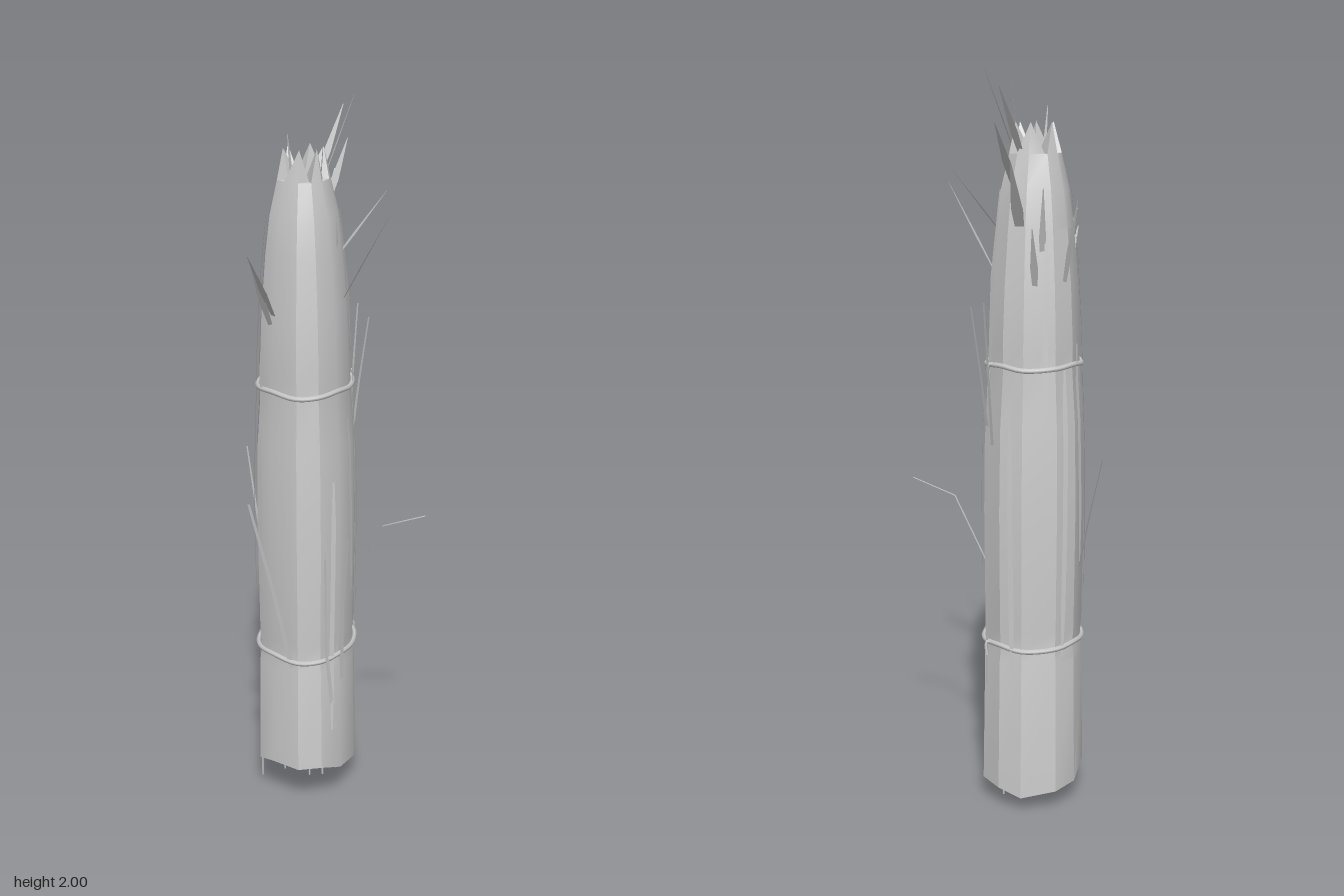
import * as THREE from 'three';
import { toCreasedNormals } from 'three/addons/utils/BufferGeometryUtils.js';

const CX = -0.075, CZ = -0.01;
// outline of the bundle seen from above, as [x, z] about its axis
const OUTLINE = [[0.015, 0.165], [0.08, 0.148], [0.122, 0.09], [0.142, 0], [0.13, -0.085], [0.08, -0.14],
  [0.015, -0.165], [-0.08, -0.142], [-0.125, -0.08], [-0.14, 0.005], [-0.118, 0.085], [-0.065, 0.135]];
const N = OUTLINE.length;
// [height, scale of the outline]
const PROFILE = [[0.08, 1], [0.43, 0.96], [0.47, 0.925], [0.52, 0.95], [0.85, 0.97], [1.08, 0.94], [1.24, 0.86],
  [1.3, 0.87], [1.45, 0.82], [1.6, 0.73], [1.7, 0.64], [1.79, 0.49], [1.85, 0.37]];

function scaleAt(y) {
  for (let i = 1; i < PROFILE.length; i++) {
    const [y0, s0] = PROFILE[i - 1], [y1, s1] = PROFILE[i];
    if (y <= y1) return s0 + (s1 - s0) * Math.max(0, (y - y0) / (y1 - y0));
  }
  return PROFILE[PROFILE.length - 1][1];
}

// point on the bundle at position u (0..N) round the outline
function onBundle(u, y, off = 0) {
  const i = Math.floor(u) % N, f = u - Math.floor(u);
  const a = OUTLINE[i], b = OUTLINE[(i + 1) % N], s = scaleAt(y);
  const x = (a[0] + (b[0] - a[0]) * f) * s, z = (a[1] + (b[1] - a[1]) * f) * s;
  const k = 1 + off / Math.hypot(x, z);
  return new THREE.Vector3(CX + x * k, y, CZ + z * k);
}

function bundleGeometry() {
  const pos = [], idx = [], rows = PROFILE.length;
  PROFILE.forEach(([y], r) => {
    for (let i = 0; i < N; i++) {
      const p = onBundle(i, y);
      if (r === 0) p.y = 0.092 + 0.27 * p.z + (i % 2 ? 0.006 : -0.004);
      if (r === rows - 1) p.y = i % 2 ? 1.79 : 1.87;
      pos.push(p.x, p.y, p.z);
    }
  });
  for (let r = 0; r < rows - 1; r++) for (let i = 0; i < N; i++) {
    const j = (i + 1) % N, a = r * N + i, b = r * N + j;
    idx.push(a, b, b + N, a, b + N, a + N);
  }
  // slanted cut below, hollow crown above
  pos.push(CX, 0.095, CZ, CX, 1.77, CZ);
  for (let i = 0; i < N; i++) {
    const j = (i + 1) % N, t = (rows - 1) * N;
    idx.push(rows * N, j, i, rows * N + 1, t + i, t + j);
  }
  const g = new THREE.BufferGeometry();
  g.setAttribute('position', new THREE.Float32BufferAttribute(pos, 3));
  g.setIndex(idx);
  return toCreasedNormals(g, 0.45);
}

// flat strip through points, with one width per point
function ribbon(points, widths) {
  const pos = [], idx = [];
  const mid = points[0], out = new THREE.Vector3(mid.x - CX, 0, mid.z - CZ).normalize();
  const dir = points[points.length - 1].clone().sub(mid).normalize();
  const side = new THREE.Vector3().crossVectors(dir, out);
  if (side.length() < 0.05) side.set(-out.z, 0, out.x);
  side.normalize();
  points.forEach((p, i) => {
    for (const s of [-0.5, 0.5]) {
      const q = p.clone().addScaledVector(side, s * widths[i]);
      pos.push(q.x, q.y, q.z);
    }
    if (i) idx.push(2 * i - 2, 2 * i - 1, 2 * i + 1, 2 * i - 2, 2 * i + 1, 2 * i);
  });
  const g = new THREE.BufferGeometry();
  g.setAttribute('position', new THREE.Float32BufferAttribute(pos, 3));
  g.setIndex(idx);
  g.computeVertexNormals();
  return g;
}

export function createModel() {
  const group = new THREE.Group();
  const straw = new THREE.MeshStandardMaterial({ color: 0xcccccc, side: THREE.DoubleSide });
  straw.name = 'pale grey straw';
  const add = (geo, name) => {
    const m = new THREE.Mesh(geo, straw);
    m.name = name;
    group.add(m);
  };
  const V = (p) => new THREE.Vector3(...p);

  add(bundleGeometry(), 'bundle');

  // two cords, each with a loose end
  for (const y of [0.472, 1.242]) {
    const pts = OUTLINE.map((_, i) => onBundle(i, y, 0.004).setY(y + (i % 3 - 1) * 0.004));
    add(new THREE.TubeGeometry(new THREE.CatmullRomCurve3(pts, true), 48, 0.007, 5, true), 'cord');
    const k = onBundle(4.5, y, 0.004);
    const tail = new THREE.CatmullRomCurve3([k, k.clone().add(V([0.016, 0.006, -0.01])), k.clone().add(V([0.014, -0.03, -0.014]))]);
    add(new THREE.TubeGeometry(tail, 6, 0.005, 5), 'cordEnd');
  }

  // broad pointed leaves near the top: root, tip, width
  const leaves = [
    [[-0.14, 1.42, 0.09], [-0.175, 1.59, 0.15], 0.03],
    [[-0.13, 1.45, 0.1], [-0.165, 1.63, 0.215], 0.025],
    [[0.03, 1.47, 0], [0.16, 1.71, 0.02], 0.02],
    [[0, 1.57, -0.04], [0.13, 1.75, -0.1], 0.025],
    [[-0.05, 1.57, -0.1], [-0.037, 1.78, -0.225], 0.034],
    [[-0.03, 1.7, -0.08], [0.008, 1.87, -0.18], 0.03],
    [[-0.05, 1.77, -0.06], [0, 1.96, -0.16], 0.024],
    [[-0.09, 1.44, -0.13], [-0.09, 1.61, -0.205], 0.02],
    [[-0.105, 1.5, -0.11], [-0.115, 1.71, -0.18], 0.018],
    [[-0.16, 1.45, -0.09], [-0.2, 1.68, -0.155], 0.02],
    [[-0.03, 1.77, -0.03], [0.05, 2, -0.06], 0.012],
    [[-0.03, 1.75, -0.01], [-0.015, 1.96, -0.01], 0.01],
    [[-0.09, 1.75, 0.03], [-0.1, 1.91, 0.05], 0.01],
    [[0.022, 1.52, 0], [0.02, 1.7, 0.02], 0.016],
  ];
  for (const [root, tip, w] of leaves) {
    const a = V(root), b = V(tip);
    add(ribbon([a, a.clone().lerp(b, 0.4), b], [w * 0.6, w, 0.002]), 'leaf');
  }

  // loose stalks standing off the sides
  const stalks = [
    [[0.055, 0.66, 0], [0.15, 0.85, 0.018], [0.27, 0.895, 0.03]],
    [[-0.205, 0.68, -0.05], [-0.235, 0.84, -0.08], [-0.27, 1, -0.125]],
    [[-0.08, 0.45, 0.14], [-0.125, 0.72, 0.18], [-0.17, 0.97, 0.23]],
    [[0.035, 0.22, 0.09], [0.02, 0.5, 0.14], [0.03, 0.82, 0.205]],
    [[0.05, 0.4, 0.08], [0.06, 0.63, 0.12], [0.085, 0.87, 0.17]],
    [[0.025, 1, -0.11], [0.03, 1.22, -0.15], [0.037, 1.42, -0.185]],
    [[0.04, 1.08, -0.11], [0.055, 1.22, -0.12], [0.08, 1.4, -0.122]],
  ];
  for (const s of stalks) {
    add(ribbon(s.map(V), [0.014, 0.01, 0.007]), 'stalk');
  }

  // straws lying against the bundle: place round the outline, bottom, top
  const flat = [[2.7, 0.65, 1.16], [3.2, 0.58, 1.5], [4.3, 0.35, 1.7], [1.5, 0.25, 1],
    [10.4, 0.8, 1.4], [9.2, 0.6, 1.7], [8.3, 0.7, 1.3], [7.3, 0.45, 1.25], [5.6, 0.4, 1.1], [6.6, 0.9, 1.6]];
  flat.forEach(([u, y0, y1], i) => {
    const pts = [], w = [];
    for (let k = 0; k <= 6; k++) {
      pts.push(onBundle(u + (i % 2 ? 0.02 : -0.02) * k, y0 + (y1 - y0) * k / 6, 0.008));
      w.push(k === 0 || k === 6 ? 0.006 : 0.014);
    }
    add(ribbon(pts, w), 'flatStraw');
  });

  // stalk ends poking out below
  for (const [x, z, y] of [[-0.19, 0.06, 0.04], [-0.13, 0.03, 0.05], [-0.07, -0.03, 0], [0, -0.08, 0.005], [-0.02, 0.02, 0.04]]) {
    const h = 0.14 - y;
    const g = new THREE.CylinderGeometry(0.004, 0.003, h, 4);
    g.translate(x, y + h / 2, z);
    add(g, 'stalkEnd');
  }
  return group;
}
